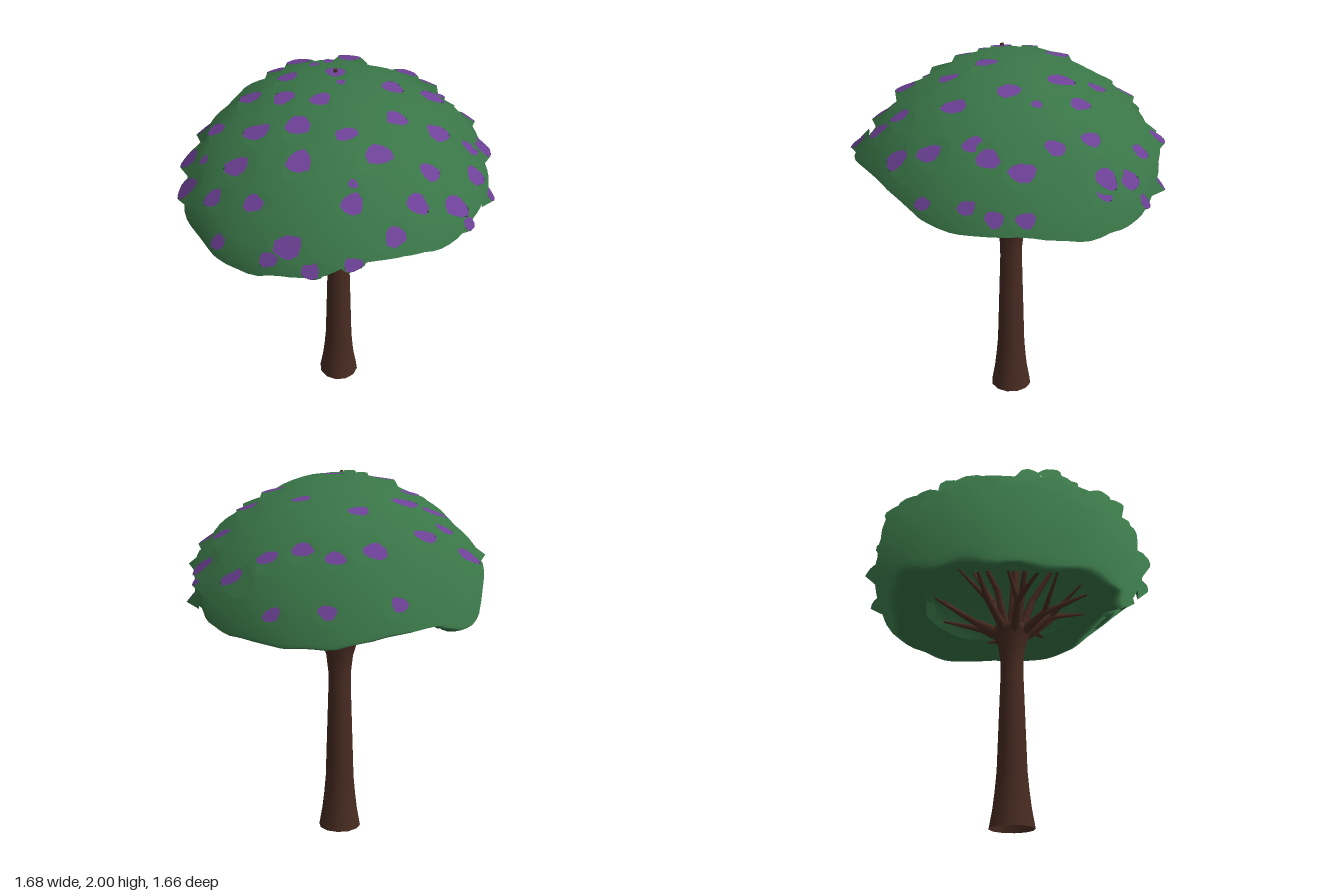
import * as THREE from 'three';

const mat = (name, color, side = THREE.FrontSide) => {
  const m = new THREE.MeshStandardMaterial({ color, side });
  m.name = name;
  return m;
};

// Crown outline every 15 degrees, from +x towards +z: radius and height of the lower rim
const RADIUS = [.82, .81, .79, .77, .76, .79, .84, .76, .78, .77, .80, .81,
  .83, .79, .77, .82, .81, .86, .84, .80, .81, .78, .77, .84];
const RIM = [1.17, 1.20, 1.19, 1.18, 1.19, 1.25, 1.31, 1.25, 1.20, 1.18, 1.14, 1.13,
  1.13, 1.12, 1.14, 1.15, 1.19, 1.20, 1.18, 1.14, 1.11, 1.10, 1.12, 1.15];

// Crown profile from the top, round the rim, to the lip inside: radius fraction, height
const PROFILE = new THREE.CatmullRomCurve3([
  [0, 1.98], [.2, 1.96], [.4, 1.9], [.58, 1.82], [.74, 1.725], [.87, 1.62],
  [.97, 1.5], [.98, 1.39], [.96, 1.27], [.9, 1.18], [.8, 1.15], [.71, 1.18], [.62, 1.24],
].map(([r, y]) => new THREE.Vector3(r, y, 0)));

function around(table, a) {
  const f = ((a / (Math.PI * 2)) % 1 + 1) % 1 * table.length;
  const i = Math.floor(f), k = f - i, s = k * k * (3 - 2 * k);
  return table[i % table.length] * (1 - s) + table[(i + 1) % table.length] * s;
}

// Point on the crown at angle a and distance t along the profile
function crownPoint(a, t) {
  const p = PROFILE.getPoint(t);
  const fade = Math.min(1, t * 3);
  const wobble = .01 * fade * (Math.sin(7 * a + 17 * t) + Math.sin(13 * a - 23 * t));
  const drop = Math.max(0, 1.45 - p.y);
  // the lower flank recedes at the front
  const recess = 1 - .4 * drop * Math.max(0, Math.sin(a)) ** 6;
  const r = p.x * around(RADIUS, a) * .975 * recess + wobble;
  const y = p.y + drop - drop * (1.45 - around(RIM, a)) / .3 + wobble * .6;
  return new THREE.Vector3(Math.cos(a) * r, y, Math.sin(a) * r);
}

const crownNormal = (p) => new THREE.Vector3(p.x, p.y - .97, p.z).normalize();

// Open, hollow crown with soft shading; the lip turns down and inwards
function crownGeometry(cols = 72, rows = 36) {
  const pos = [], nor = [], index = [];
  for (let j = 0; j <= rows; j++) {
    const lip = THREE.MathUtils.smoothstep(j / rows, .74, .88);
    for (let i = 0; i <= cols; i++) {
      const p = crownPoint((i % cols) / cols * Math.PI * 2, j / rows);
      const n = crownNormal(p).lerp(new THREE.Vector3(-p.x, -.7, -p.z), lip).normalize();
      pos.push(p.x, p.y, p.z);
      nor.push(n.x, n.y, n.z);
      if (i < cols && j < rows) {
        const a = j * (cols + 1) + i, b = a + 1, c = a + cols + 1, d = c + 1;
        index.push(a, b, c, b, d, c);
      }
    }
  }
  const g = new THREE.BufferGeometry();
  g.setAttribute('position', new THREE.Float32BufferAttribute(pos, 3));
  g.setAttribute('normal', new THREE.Float32BufferAttribute(nor, 3));
  g.setIndex(index);
  return g;
}

// Blossom tufts seen from above (x, z)
const UPPER = [[-.09, -.74], [.15, -.72], [.33, -.69], [-.33, -.72], [-.42, -.62], [-.27, -.62],
  [-.09, -.55], [.16, -.57], [.45, -.61], [-.28, -.5], [-.6, -.42], [-.19, -.41], [-.11, -.29],
  [.35, -.33], [.13, -.2], [-.42, -.08], [-.23, -.08], [.42, -.11], [.56, -.15], [.56, -.46],
  [.7, -.34], [.69, -.15], [.79, -.18], [-.73, -.11], [-.6, -.03], [-.78, .04], [-.3, .09],
  [-.03, .04], [-.45, .16], [-.16, .2], [.2, .19], [.43, .15], [.72, .03], [.73, .18],
  [-.58, .27], [-.7, .28], [-.3, .29], [.14, .36], [-.11, .39], [.35, .38], [.55, .35],
  [.65, .31], [-.34, .43], [-.55, .42], [-.02, .55], [.48, .53], [.2, .61], [-.45, .59],
  [-.18, .65], [.1, .7], [.32, .65], [-.04, .79]];
// Small ones (x, z), and those on the lower flank (degrees, height)
const SMALL = [[-.08, -.11], [-.01, -.11], [-.04, .14], [.54, .05], [-.69, .04], [-.15, .58]];
const FLANK = [[23, 1.33], [13, 1.33], [-12, 1.43], [-25, 1.43], [120, 1.34], [135, 1.36],
  [105, 1.35], [51, 1.35], [32, 1.38], [155, 1.37], [-85, 1.33], [-62, 1.3], [-42, 1.28]];

// Surface point at angle a that best fits a measure, searched over t0..t1
function findPoint(a, error, t0, t1) {
  let best = null, least = Infinity;
  for (let k = 0; k <= 100; k++) {
    const p = crownPoint(a, t0 + (t1 - t0) * k / 100);
    if (error(p) < least) { least = error(p); best = p; }
  }
  return best;
}

// Lump of leaves rising from the crown to a blossom-coloured ledge that faces the sky
function tuft(p, size, seed, materials) {
  const n = crownNormal(p);
  const up = new THREE.Vector3(0, 1, 0);
  const steep = new THREE.Vector3(p.x, (p.y - 1.3) * 1.3, p.z).normalize();
  const tilt = new THREE.Vector3(steep.x, steep.y + .8, steep.z).normalize();
  const qTop = new THREE.Quaternion().setFromUnitVectors(up, tilt);
  const qBase = new THREE.Quaternion().setFromUnitVectors(up, steep);
  const lift = .007 + size * .55 * Math.sin(tilt.angleTo(steep));
  const g = new THREE.CylinderGeometry(size, size * 1.6, 1, 9, 1, true);
  const cap = new THREE.CircleGeometry(size, 9, Math.PI / 2).rotateX(-Math.PI / 2).translate(0, .5, 0);
  const v = new THREE.Vector3();
  return [[g, materials.leaf, 'leafLump'], [cap, materials.bloom, 'blossom']].map(([geo, material, name]) => {
    const at = geo.attributes.position;
    for (let i = 0; i < at.count; i++) {
      v.fromBufferAttribute(at, i);
      const top = v.y > 0, a = Math.atan2(v.z, v.x);
      const k = 1 + .12 * Math.sin(3 * a + seed) + .08 * Math.cos(2 * a + seed * 2);
      v.set(v.x * k, 0, v.z * k).applyQuaternion(top ? qTop : qBase).add(p);
      v.addScaledVector(steep, top ? lift : -.016);
      at.setXYZ(i, v.x, v.y, v.z);
      geo.attributes.normal.setXYZ(i, n.x, n.y, n.z);
    }
    const m = new THREE.Mesh(geo, material);
    m.name = name;
    return m;
  });
}

// Tapered limb between two points
function limb(a, b, ra, rb, material) {
  const d = b.clone().sub(a);
  const m = new THREE.Mesh(new THREE.CylinderGeometry(rb, ra, d.length(), 6), material);
  m.position.copy(a).addScaledVector(d, .5);
  m.quaternion.setFromUnitVectors(new THREE.Vector3(0, 1, 0), d.normalize());
  m.name = 'branch';
  return m;
}

export function createModel() {
  const leaf = mat('leaf green', 0x397547, THREE.DoubleSide);
  const bloom = mat('blossom purple', 0x6e4298);
  const bark = mat('bark brown', 0x482b21, THREE.DoubleSide);
  const tree = new THREE.Group();
  tree.name = 'tree';

  // Flared trunk
  const outline = [[.118, 0], [.1, .1], [.089, .19], [.08, .29], [.07, .6], [.063, .82],
    [.064, .9], [.075, .99], [.1, 1.07], [.108, 1.1], [.08, 1.11], [0, 1.09]];
  const trunk = new THREE.Mesh(
    new THREE.LatheGeometry(outline.map(([r, y]) => new THREE.Vector2(r, y)), 12), bark);
  trunk.name = 'trunk';
  tree.add(trunk);

  // Branches: spreading lower ones that fork, and steep inner ones
  const branches = new THREE.Group();
  branches.name = 'branches';
  const polar = (deg, r, y) => new THREE.Vector3(
    Math.cos(deg * Math.PI / 180) * r, y, Math.sin(deg * Math.PI / 180) * r);
  for (let i = 0; i < 8; i++) {
    const a = i * 45 + 12, rise = (i % 3) * .03;
    const fork = polar(a + 4, .22, 1.14 + rise);
    branches.add(limb(polar(a, .07, 1.07), fork, .03, .02, bark));
    branches.add(limb(fork, polar(a - 8, .45, 1.22 + rise), .02, .006, bark));
    branches.add(limb(fork, polar(a + 18, .4, 1.31 + rise), .017, .005, bark));
  }
  for (let i = 0; i < 5; i++) {
    const a = i * 72 + 30;
    branches.add(limb(polar(a, .04, 1.06), polar(a, .12, 1.3), .03, .02, bark));
    branches.add(limb(polar(a, .12, 1.3), polar(a + 10, .3, 1.6), .02, .006, bark));
  }
  branches.add(limb(new THREE.Vector3(0, 1.06, 0), new THREE.Vector3(-.03, 1.995, .04), .035, .01, bark));
  tree.add(branches);

  // Crown with its blossom tufts
  const crown = new THREE.Mesh(crownGeometry(), leaf);
  crown.name = 'crown';
  tree.add(crown);
  const tufts = new THREE.Group();
  tufts.name = 'blossomTufts';
  const addFromAbove = (spots, size) => spots.forEach(([x, z], i) => {
    const r = Math.hypot(x, z) * .98;
    const p = findPoint(Math.atan2(z, x), (s) => Math.abs(Math.hypot(s.x, s.z) - r), 0, .56);
    tufts.add(...tuft(p, size * (1 + .14 * Math.sin(i * 2.3)), i, { leaf, bloom }));
  });
  addFromAbove(UPPER, .055);
  addFromAbove(SMALL, .026);
  FLANK.forEach(([deg, y], i) => {
    const p = findPoint(deg * Math.PI / 180, (s) => Math.abs(s.y - y), .35, .75);
    tufts.add(...tuft(p, .043, i + .5, { leaf, bloom }));
  });
  tree.add(tufts);
  return tree;
}
